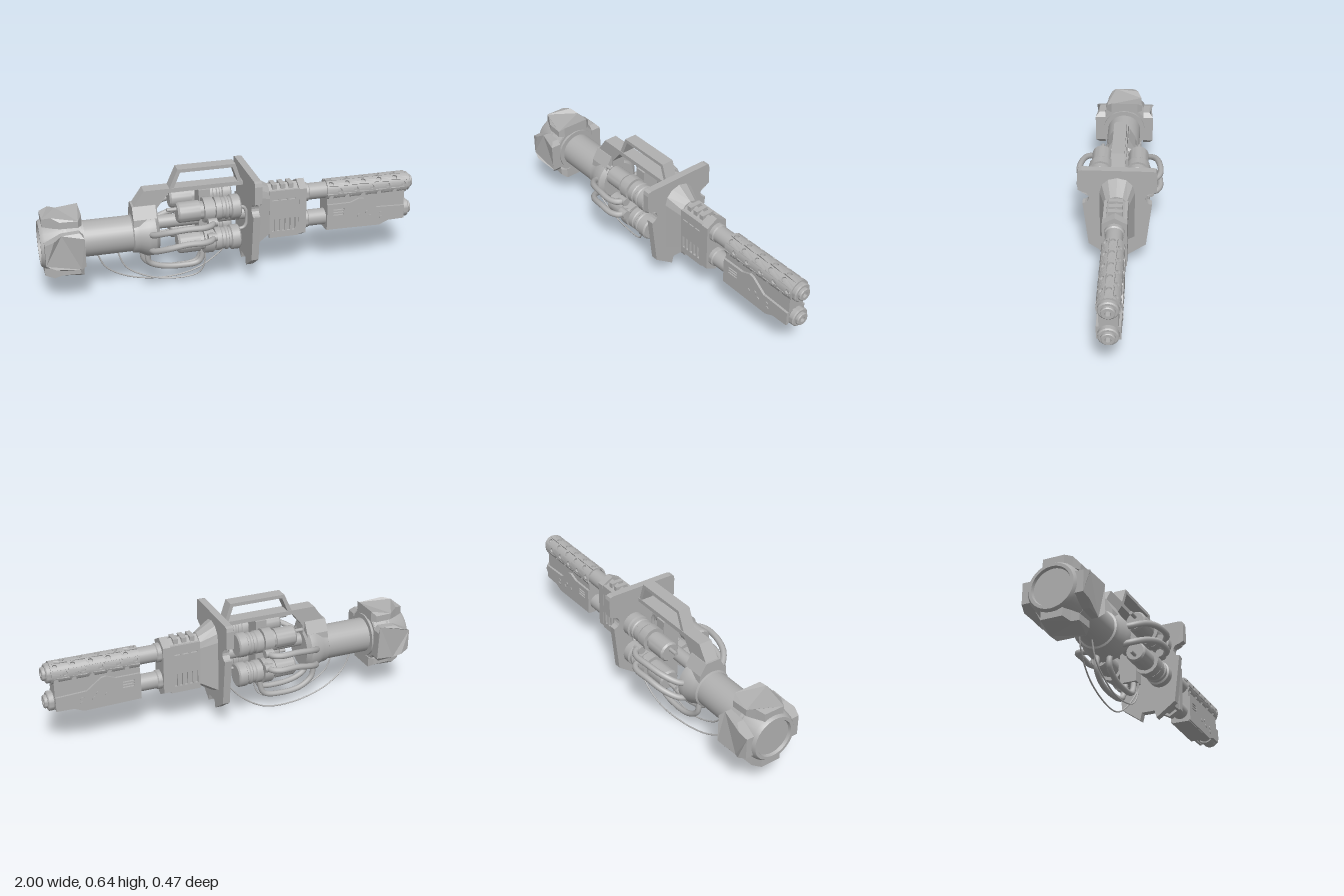
import * as THREE from 'three';
import { toCreasedNormals } from 'three/addons/utils/BufferGeometryUtils.js';

export function createModel() {
  const root = new THREE.Group();
  const grey = new THREE.MeshStandardMaterial({ color: 0xb0b0b0, side: THREE.DoubleSide });
  grey.name = 'gunmetalGrey';

  const add = (name, geo) => {
    const m = new THREE.Mesh(geo, grey);
    m.name = name;
    root.add(m);
    return m;
  };
  const V = (a) => new THREE.Vector3(...a);
  const shapeOf = (pts) => new THREE.Shape(pts.map((p) => new THREE.Vector2(...p)));
  // Cylinder along x
  const cyl = (name, x0, x1, r0, r1, y, z = 0, seg = 32) => add(name,
    new THREE.CylinderGeometry(r1, r0, x1 - x0, seg).rotateZ(-Math.PI / 2).translate((x0 + x1) / 2, y, z));
  // Turned profile of [x, radius] along x
  const lathe = (name, pts, y, z = 0, seg = 32) => add(name, toCreasedNormals(
    new THREE.LatheGeometry(pts.map(([x, r]) => new THREE.Vector2(r, x)), seg).rotateZ(-Math.PI / 2), 0.6).translate(0, y, z));
  // Section in (z, y) pulled along x
  const pullX = (shape, x0, x1) => new THREE.ExtrudeGeometry(shape,
    { depth: x1 - x0, bevelEnabled: false, curveSegments: 12 }).rotateY(Math.PI / 2).translate(x0, 0, 0);
  // Profile in (x, y) pulled along z
  const pullZ = (shape, z0, z1) => new THREE.ExtrudeGeometry(shape,
    { depth: z1 - z0, bevelEnabled: false, curveSegments: 12 }).translate(0, 0, z0);
  const box = (name, x0, x1, y0, y1, z0, z1) => add(name, new THREE.BoxGeometry(x1 - x0, y1 - y0, z1 - z0)
    .translate((x0 + x1) / 2, (y0 + y1) / 2, (z0 + z1) / 2));
  const tube = (name, pts, r) => add(name, new THREE.TubeGeometry(
    new THREE.CatmullRomCurve3(pts.map(V)), 40, r, 10));
  const rectHole = (x0, x1, y0, y1) => new THREE.Path([[x0, y0], [x0, y1], [x1, y1], [x1, y0]].map((p) => new THREE.Vector2(...p)));

  // Rear tube and clawed end cap
  const axis = 0.31;
  cyl('rearTube', -0.82, -0.42, 0.093, 0.093, axis);
  lathe('capCore', [[-0.985, 0], [-0.985, 0.095], [-1, 0.1], [-1, 0.115], [-0.98, 0.128], [-0.87, 0.142]], axis);
  add('capRing', toCreasedNormals(new THREE.CylinderGeometry(0.145, 0.152, 0.09, 8).rotateY(Math.PI / 8)
    .rotateZ(-Math.PI / 2), 0.3).translate(-0.845, axis, 0));
  lathe('capSteps', [[-0.82, 0.132], [-0.795, 0.132], [-0.795, 0.118], [-0.782, 0.118], [-0.782, 0.09]], axis);
  const clawShape = shapeOf([[-0.985, -0.055], [-0.94, -0.075], [-0.9, -0.095], [-0.81, -0.1], [-0.79, -0.075],
    [-0.79, 0.075], [-0.81, 0.1], [-0.9, 0.095], [-0.94, 0.075], [-0.985, 0.055]]);
  for (let i = 0; i < 4; i++) {
    const g = pullZ(clawShape, 0.11, 0.166);
    const p = g.attributes.position;
    for (let k = 0; k < p.count; k++) {
      // Outer face drops toward its long edges and the rear lip
      if (p.getZ(k) > 0.15) {
        if (Math.abs(p.getY(k)) > 0.08) p.setZ(k, 0.145);
        if (p.getX(k) < -0.96) p.setZ(k, 0.155);
      }
    }
    g.computeVertexNormals();
    add('capClaw', g.rotateX(i * Math.PI / 2).translate(0, axis, 0));
  }

  // Collar, top spine and carrying handle
  lathe('collar', [[-0.535, 0.093], [-0.53, 0.102], [-0.5, 0.105], [-0.46, 0.125], [-0.42, 0.125], [-0.4, 0.1], [-0.4, 0]], axis);
  add('spine', pullZ(shapeOf([[-0.53, 0.39], [-0.53, 0.455], [-0.465, 0.548], [0.05, 0.548], [0.05, 0.527],
    [-0.34, 0.525], [-0.4, 0.45], [-0.4, 0.39]]), -0.036, 0.036));
  add('collarBlock', pullX(shapeOf([[-0.085, 0.33], [0.085, 0.33], [0.075, 0.41], [0.04, 0.47], [-0.04, 0.47], [-0.075, 0.41]]), -0.53, -0.41));
  const handle = shapeOf([[-0.335, 0.545], [-0.29, 0.645], [0.012, 0.645], [0.05, 0.53], [0.03, 0.53],
    [-0.003, 0.627], [-0.277, 0.627], [-0.312, 0.545]]);
  add('handle', pullZ(handle, -0.033, 0.033));

  // Core shaft and clamp
  cyl('coreShaft', -0.42, 0.07, 0.035, 0.035, 0.355);
  box('clamp', -0.185, -0.125, 0.175, 0.525, -0.045, 0.045);

  // Four canisters in their clamps, with nozzles
  for (const s of [-1, 1]) for (const y of [0.44, 0.27]) {
    const z = s * 0.098;
    lathe('canister', [[-0.315, 0], [-0.315, 0.045], [-0.305, 0.053], [-0.2, 0.053], [-0.2, 0.046], [-0.12, 0.046],
      [-0.12, 0.06], [-0.09, 0.06], [-0.085, 0.055], [-0.07, 0.055], [-0.065, 0.06], [-0.055, 0.06], [-0.05, 0.055],
      [-0.04, 0.055], [-0.035, 0.064], [0.005, 0.064], [0.012, 0.056], [0.012, 0]], y, z);
    cyl('canisterClamp', -0.18, -0.13, 0.066, 0.066, y, z, 12);
    cyl('nozzle', -0.365, -0.31, 0.01, 0.01, y + 0.02 * Math.sign(y - 0.355), z, 12);
  }
  for (const s of [-1, 1]) {
    // Link pipe at the canister fronts, and the side hoses
    tube('linkPipe', [[0.0, 0.42, s * 0.065], [0.045, 0.415, s * 0.065], [0.06, 0.39, s * 0.065], [0.06, 0.32, s * 0.065],
      [0.045, 0.3, s * 0.065], [0.0, 0.295, s * 0.065]], 0.009);
    for (const [a, b] of [[0.345, 0.395], [0.255, 0.312]]) {
      tube('sideHose', [[-0.45, a - 0.01, s * 0.08], [-0.44, a, s * 0.13], [-0.38, a + 0.03, s * 0.185], [-0.28, b, s * 0.213],
        [-0.19, b, s * 0.215], [-0.15, b, s * 0.19], [-0.145, b, s * 0.1]], 0.016);
      cyl('hoseFitting', -0.168, -0.122, 0.022, 0.022, b, s * 0.165, 10);
    }
  }
  // Hanging hoses and wires
  tube('lowerHose', [[-0.45, 0.22, 0.03], [-0.45, 0.15, 0.025], [-0.39, 0.115, 0.02], [-0.28, 0.1, 0.018], [-0.18, 0.115, 0.02], [-0.155, 0.2, 0.02]], 0.015);
  tube('lowerHose', [[-0.47, 0.22, -0.03], [-0.465, 0.14, -0.035], [-0.4, 0.09, -0.04], [-0.28, 0.075, -0.04], [-0.18, 0.095, -0.035], [-0.15, 0.2, -0.025]], 0.015);
  tube('wire', [[-0.715, 0.225, -0.005], [-0.67, 0.13, -0.012], [-0.55, 0.05, -0.03], [-0.35, 0.008, -0.048],
    [-0.17, 0.03, -0.065], [-0.03, 0.12, -0.07], [0.07, 0.24, -0.06]], 0.004);
  tube('wire', [[-0.61, 0.225, 0.01], [-0.57, 0.13, 0.012], [-0.47, 0.065, 0.014], [-0.33, 0.03, 0.015],
    [-0.19, 0.05, 0.03], [-0.16, 0.1, 0.04], [-0.15, 0.2, 0.04]], 0.004);

  // Shield: thin plate plus raised rim, with side and bottom notches
  const half = [[0.036, 0.11], [0.046, 0.07], [0.15, 0.145], [0.178, 0.4]];
  for (let i = 0; i <= 8; i++) {
    const a = -Math.PI / 2 - (i / 8) * Math.PI;
    half.push([0.178 + 0.034 * Math.cos(a), 0.434 + 0.034 * Math.sin(a)]);
  }
  half.push([0.202, 0.48], [0.202, 0.575], [0.197, 0.594], [0.18, 0.599]);
  const outline = [...half, ...half.map(([z, y]) => [-z, y]).reverse()];
  const inner = outline.map(([z, y]) => [z * 0.9, 0.33 + (y - 0.33) * 0.9]);
  add('shieldPlate', pullX(shapeOf(outline), 0.066, 0.09));
  const rim = shapeOf(outline);
  rim.holes.push(shapeOf(inner));
  add('shieldRim', pullX(rim, 0.09, 0.104));

  // Tapering boss from shield to receiver
  const bossHalf = [[0.095, 0.19], [0.095, 0.475], [0.083, 0.52], [0.05, 0.553]];
  const boss = pullX(shapeOf([[0, 0.145], ...bossHalf, [0, 0.566], ...bossHalf.map(([z, y]) => [-z, y]).reverse()]), 0.09, 0.19);
  const bp = boss.attributes.position;
  for (let k = 0; k < bp.count; k++) if (bp.getX(k) > 0.15) {
    bp.setZ(k, bp.getZ(k) * 0.62);
    bp.setY(k, 0.355 + (bp.getY(k) - 0.355) * 0.7);
  }
  boss.computeVertexNormals();
  add('boss', boss);

  // Receiver: hexagonal body, slotted cheeks and end band
  const hex = (w, y0, y1, c) => shapeOf([[0, y0], [w, y0 + c], [w, y1 - c], [0, y1], [-w, y1 - c], [-w, y0 + c]]);
  add('receiver', pullX(hex(0.048, 0.205, 0.5, 0.03), 0.18, 0.36));
  add('receiverBand', pullX(hex(0.062, 0.19, 0.513, 0.035), 0.35, 0.39));
  const cheek = shapeOf([[0.19, 0.215], [0.35, 0.215], [0.35, 0.48], [0.19, 0.48]]);
  for (let i = 0; i < 5; i++) cheek.holes.push(rectHole(0.203 + i * 0.028, 0.22 + i * 0.028, 0.25, 0.32));
  for (let i = 0; i < 3; i++) cheek.holes.push(rectHole(0.205 + i * 0.045, 0.24 + i * 0.045, 0.425, 0.432));
  for (const s of [-1, 1]) add('receiverCheek', pullZ(cheek, s > 0 ? 0.045 : -0.06, s > 0 ? 0.06 : -0.045));
  for (let i = 0; i < 3; i++) box('topRib', 0.21 + i * 0.045, 0.235 + i * 0.045, 0.47, 0.504, -0.035, 0.035);

  // Two barrels with bored muzzles
  const upper = 0.432, lower = 0.279;
  for (const y of [upper, lower]) {
    cyl('barrel', 0.38, 0.96, 0.044, 0.044, y);
    lathe('barrelCollar', [[0.385, 0.05], [0.41, 0.05], [0.415, 0.044]], y);
    lathe('muzzle', [[0.94, 0.03], [0.955, 0.05], [0.978, 0.05], [0.983, 0.044], [0.983, 0.034], [0.996, 0.034],
      [1, 0.03], [1, 0.015], [0.962, 0.014], [0.962, 0]], y);
  }
  cyl('lowerSleeve', 0.89, 0.95, 0.051, 0.051, lower);

  // Perforated jacket: flat tiles with a hole, bent round the barrel
  const rows = 9, cols = 5, len = 0.09, R = 0.058;
  for (let r = 0; r < rows; r++) for (let c = 0; c < cols; c++) {
    const w = (Math.PI * 2 * R) / rows, pts = [];
    for (let i = 0; i < 6; i++) pts.push([-len / 2, w / 2 - (w * i) / 6]);
    for (let i = 0; i < 6; i++) pts.push([len / 2, -w / 2 + (w * i) / 6]);
    const tile = shapeOf([...pts, [len / 2, w / 2]]);
    tile.holes.push(new THREE.Path().absarc(r % 2 ? 0.022 : -0.022, 0, 0.013, 0, Math.PI * 2, true));
    const g = new THREE.ExtrudeGeometry(tile, { depth: 0.01, bevelEnabled: false, curveSegments: 7 });
    const p = g.attributes.position;
    for (let k = 0; k < p.count; k++) {
      const a = (p.getY(k) / R) + (r / rows) * Math.PI * 2;
      const rad = R - 0.01 + p.getZ(k);
      p.setXYZ(k, p.getX(k) + 0.51 + len * (c + 0.5), upper + rad * Math.cos(a), -rad * Math.sin(a));
    }
    g.computeVertexNormals();
    add('jacketTile', toCreasedNormals(g, 0.6));
  }

  // Lower barrel cover with raised side plates, grille and studs
  add('barrelCover', pullZ(shapeOf([[0.51, 0.23], [0.81, 0.23], [0.86, 0.245], [0.95, 0.245], [0.95, 0.41], [0.51, 0.41]]), -0.046, 0.046));
  const plate = shapeOf([[0.51, 0.222], [0.81, 0.216], [0.86, 0.238], [0.95, 0.24], [0.95, 0.315], [0.79, 0.322],
    [0.715, 0.38], [0.69, 0.385], [0.64, 0.365], [0.51, 0.365]]);
  for (let i = 0; i < 3; i++) plate.holes.push(rectHole(0.545, 0.605, 0.3 + i * 0.015, 0.308 + i * 0.015));
  for (const s of [-1, 1]) {
    add('coverPlate', pullZ(plate, s > 0 ? 0.044 : -0.058, s > 0 ? 0.058 : -0.044));
    for (const [x, y] of [[0.69, 0.285], [0.735, 0.3], [0.755, 0.275], [0.815, 0.285], [0.82, 0.26]])
      add('stud', new THREE.CylinderGeometry(0.01, 0.01, 0.006, 12).rotateX(Math.PI / 2).translate(x, y, s * 0.059));
  }
  box('coverFloor', 0.51, 0.81, 0.217, 0.235, -0.05, 0.05);

  return root;
}
